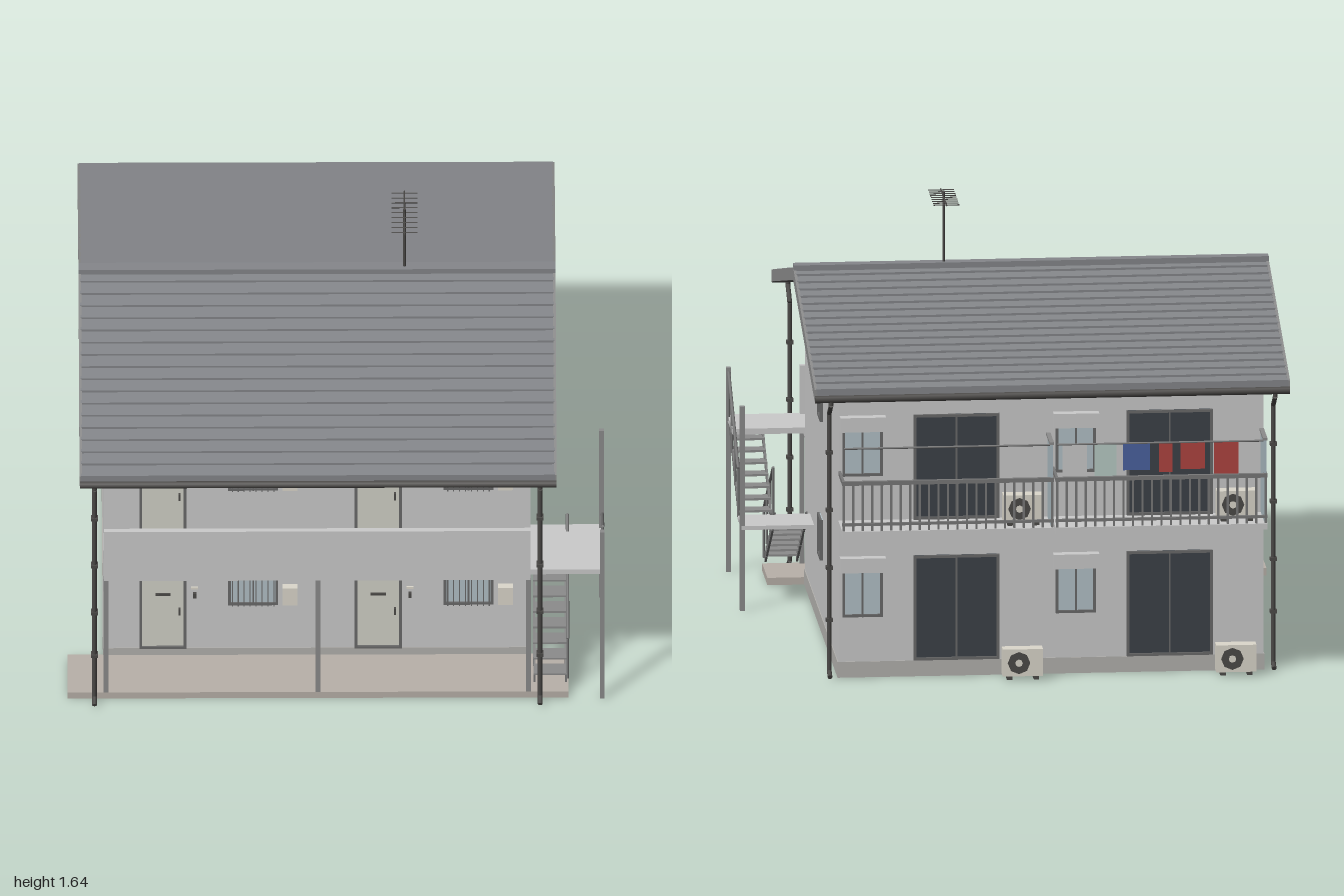
import * as THREE from 'three';

const mat = (color) => new THREE.MeshStandardMaterial({ color, side: THREE.DoubleSide });
const WALL = mat(0xcccccc), ROOF = mat(0x85878b), TRIM = mat(0x8c8c8c), STEEL = mat(0x787878),
  DARK = mat(0x4c4a48), STONE = mat(0xb9b1a9), DOOR = mat(0xd2d2c8), CREAM = mat(0xdcd8cc),
  GLASS = mat(0xb4c2c8), NIGHT = mat(0x3c4148), PANEL = mat(0xa9b9c0), FRAME = mat(0x6a6a6a);

function add(parent, name, geo, m) {
  const mesh = new THREE.Mesh(geo, m);
  mesh.name = name;
  parent.add(mesh);
  return mesh;
}
// box given by its limits on each axis
function box(parent, name, x0, x1, y0, y1, z0, z1, m = WALL) {
  const mesh = add(parent, name, new THREE.BoxGeometry(x1 - x0, y1 - y0, z1 - z0), m);
  mesh.position.set((x0 + x1) / 2, (y0 + y1) / 2, (z0 + z1) / 2);
  return mesh;
}
// straight round bar between two points
function bar(parent, name, a, b, r, m = STEEL) {
  const p = new THREE.Vector3(...a), q = new THREE.Vector3(...b), d = q.clone().sub(p);
  const mesh = add(parent, name, new THREE.CylinderGeometry(r, r, d.length(), 8), m);
  mesh.position.copy(p).add(q).multiplyScalar(0.5);
  mesh.quaternion.setFromUnitVectors(new THREE.Vector3(0, 1, 0), d.normalize());
  return mesh;
}
// profile of [z, y] points swept along x
function sweepX(parent, name, pts, x0, x1, m) {
  const shape = new THREE.Shape(pts.map(([z, y]) => new THREE.Vector2(-z, y)));
  const geo = new THREE.ExtrudeGeometry(shape, { depth: x1 - x0, bevelEnabled: false });
  const mesh = add(parent, name, geo.rotateY(Math.PI / 2), m);
  mesh.position.x = x0;
  return mesh;
}
function group(parent, name, x = 0, y = 0, z = 0) {
  const g = new THREE.Group();
  g.name = name;
  g.position.set(x, y, z);
  parent.add(g);
  return g;
}
// four-sided frame around a pane, in the XY plane facing +z
function framed(parent, name, w, h, pane, mullions = 0, t = 0.01) {
  const g = group(parent, name);
  box(g, 'pane', -w / 2, w / 2, 0, h, -0.004, 0.004, pane);
  for (const s of [-1, 1]) {
    box(g, 'frameSide', s * w / 2 - t / 2, s * w / 2 + t / 2, 0, h, -0.004, 0.012, FRAME);
    const y = s < 0 ? 0 : h - t;
    box(g, 'frameRail', -w / 2, w / 2, y, y + t, -0.004, 0.012, FRAME);
  }
  for (let i = 1; i <= mullions; i++) {
    const x = -w / 2 + (w * i) / (mullions + 1);
    box(g, 'mullion', x - 0.003, x + 0.003, 0, h, 0.004, 0.014, FRAME);
  }
  return g;
}

const X0 = -0.865, X1 = 0.72, ZF = 0.65, ZB = -0.82, RZ = 0.035;
const MID = (X0 + X1) / 2, FLOOR = 0.6;

function buildRoof(root) {
  const g = group(root, 'roof');
  // stepped courses running up to the ridge, mirrored about it
  const n = 17, half = 0.95, slope = 0.25, top = 1.36, up = [];
  for (let i = 0; i < n; i++) {
    const a = half * (1 - i / n), b = half * (1 - (i + 1) / n);
    up.push([a, top - a * slope + 0.004], [b, top - b * slope - 0.004]);
  }
  const front = up.map(([d, y]) => [RZ + d, y]);
  const back = up.map(([d, y]) => [RZ - d, y]).reverse();
  const eave = top - half * slope - 0.038;
  sweepX(g, 'roofCourses', [[RZ + half, eave], ...front, ...back, [RZ - half, eave], [RZ, top - 0.038]], -0.95, 0.81, ROOF);
  for (const x of [-0.956, 0.806]) {
    sweepX(g, 'bargeBoard', [[RZ + half, eave - 0.005], [RZ + half, eave + 0.04], [RZ, top + 0.002],
      [RZ - half, eave + 0.04], [RZ - half, eave - 0.005], [RZ, top - 0.045]], x, x + 0.01, TRIM);
  }
  box(g, 'ridgeCap', -0.955, 0.815, 1.35, 1.375, RZ - 0.022, RZ + 0.022, ROOF);
  for (const s of [-1, 1]) {
    const z = RZ + s * (half + 0.004);
    bar(g, 'gutter', [-0.955, 1.088, z], [0.815, 1.088, z], 0.014, DARK);
    // downspouts bend from the gutter back to the wall line
    const zl = s > 0 ? 0.905 : -0.838;
    for (const x of [-0.9, 0.755]) {
      const pts = [[z, 1.08], [z, 1.065], [zl, 1.015], [zl, 0.03], [zl + s * 0.035, 0.015]];
      for (let i = 0; i < 4; i++)
        bar(g, 'downspout', [x, pts[i][1], pts[i][0]], [x, pts[i + 1][1], pts[i + 1][0]], 0.009, DARK);
      for (const y of [0.22, 0.42, 0.64, 0.86]) box(g, 'bracket', x - 0.013, x + 0.013, y, y + 0.012, zl - 0.013, zl + 0.013, DARK);
    }
  }
  // aerial
  const a = group(g, 'aerial', 0.255, 0, RZ);
  bar(a, 'mast', [0, 1.36, 0], [0, 1.64, 0], 0.005, DARK);
  bar(a, 'boom', [0, 1.62, -0.135], [0, 1.62, 0.13], 0.003, DARK);
  for (let i = 0; i < 9; i++) {
    const z = -0.125 + i * 0.03;
    bar(a, 'element', [-0.048, 1.62, z], [0.048, 1.62, z], 0.002, DARK);
  }
}

// entrance door, barred window, meter box and bell of one flat
function buildEntrance(root, x, y) {
  const g = group(root, 'entrance', x, y, ZF);
  framed(g, 'door', 0.165, 0.375, DOOR);
  box(g, 'mailSlot', -0.028, 0.028, 0.25, 0.258, 0, 0.012, DARK);
  box(g, 'handle', 0.058, 0.066, 0.16, 0.19, 0, 0.016, DARK);
  box(g, 'bell', 0.112, 0.124, 0.235, 0.258, 0, 0.01, DARK);
  box(g, 'namePlate', 0.105, 0.13, 0.275, 0.285, 0, 0.006, CREAM);
  const w = framed(g, 'barredWindow', 0.175, 0.17, GLASS, 1);
  w.position.set(0.335, 0.205, 0);
  for (let i = 0; i < 8; i++) box(w, 'windowBar', -0.079 + i * 0.022, -0.075 + i * 0.022, 0, 0.17, 0.016, 0.02, FRAME);
  box(g, 'meterBox', 0.445, 0.5, 0.215, 0.295, 0, 0.026, CREAM);
}

function buildAirConditioner(root, x, y, z) {
  const g = group(root, 'airConditioner', x, y, z);
  box(g, 'cabinet', -0.075, 0.075, 0.012, 0.115, -0.027, 0.027, CREAM);
  for (const s of [-1, 1]) box(g, 'foot', s * 0.05 - 0.01, s * 0.05 + 0.01, 0, 0.012, -0.03, 0.03, DARK);
  bar(g, 'fan', [0.015, 0.063, -0.03], [0.015, 0.063, -0.02], 0.042, DARK);
  bar(g, 'fanHub', [0.015, 0.063, -0.032], [0.015, 0.063, -0.02], 0.014, CREAM);
}

// back openings of one flat
function buildBackOpenings(root, x, y) {
  const g = group(root, 'backOpenings', x, y, ZB);
  const s = framed(g, 'slidingDoor', 0.31, 0.4, NIGHT, 1);
  s.rotation.y = Math.PI;
  const w = framed(g, 'smallWindow', 0.14, 0.18, GLASS, 1);
  w.rotation.y = Math.PI;
  w.position.set(0.35, 0.17, 0);
  box(g, 'shutterHood', 0.265, 0.435, 0.345, 0.4, -0.04, 0);
}

function buildBackBalcony(root, x0, x1) {
  const g = group(root, 'backBalcony');
  const z = -0.99;
  box(g, 'balconyFloor', x0, x1, 0.578, FLOOR, -1, ZB);
  box(g, 'topRail', x0, x1, 0.775, 0.79, z - 0.008, z + 0.008, STEEL);
  box(g, 'bottomRail', x0, x1, 0.62, 0.63, z - 0.006, z + 0.006, STEEL);
  const n = 22;
  for (let i = 0; i <= n; i++) {
    const x = x0 + 0.006 + ((x1 - x0 - 0.012) * i) / n;
    box(g, 'baluster', x - 0.004, x + 0.004, FLOOR, 0.78, z - 0.004, z + 0.004, STEEL);
  }
  for (const x of [x0 + 0.005, x1 - 0.005]) box(g, 'sideRail', x - 0.005, x + 0.005, 0.775, 0.79, z, ZB, STEEL);
  box(g, 'partition', x0 + 0.004, x0 + 0.012, FLOOR + 0.005, 0.92, -0.988, -0.838, PANEL);
  box(g, 'partitionCap', x0, x0 + 0.016, 0.915, 0.925, -0.992, -0.835, TRIM);
  bar(g, 'dryingPole', [x0 + 0.01, 0.905, -0.95], [x1 - 0.01, 0.905, -0.95], 0.004, STEEL);
  buildAirConditioner(g, x0 + 0.11, FLOOR, -0.925);
  buildAirConditioner(root, x0 + 0.11, 0.005, -0.9);
}

function buildStairs(root) {
  const g = group(root, 'outsideStairs');
  box(g, 'upperLanding', X1, 0.99, 0.578, FLOOR, ZF, 0.88);
  box(g, 'middleLanding', X1, 0.99, 0.31, 0.325, 0.25, 0.43);
  for (const z of [0.88, 0.265]) box(g, 'stairPost', 0.977, 0.995, 0, 0.78, z - 0.009, z + 0.009, TRIM);
  const zb = 0.84, zt = 0.42, n = 8;
  // each flight: width range, height at outer end (z = 0.84) and at the middle landing, rail side
  for (const [x0, x1, yOut, yMid, rx] of [[0.73, 0.855, 0.06, 0.32, 0.858], [0.862, 0.988, 0.585, 0.32, 0.988]]) {
    const f = group(g, 'flight'), at = (t) => yOut + (yMid - yOut) * t;
    for (const x of [x0, x1 - 0.008])
      sweepX(f, 'stringer', [[zb, yOut + 0.014], [zb, yOut - 0.018], [zt, yMid - 0.018], [zt, yMid + 0.014]], x, x + 0.008, STEEL);
    for (let i = 0; i < n; i++) {
      const t = (i + 0.5) / n, z = zb + (zt - zb) * t;
      box(f, 'tread', x0, x1, at(t), at(t) + 0.008, z - 0.03, z + 0.03, TRIM);
    }
    bar(f, 'handrail', [rx, yOut + 0.185, zb], [rx, yMid + 0.185, zt], 0.006);
    for (let i = 0; i < 4; i++) {
      const z = zb + ((zt - zb) * i) / 3;
      bar(f, 'railPost', [rx, at(i / 3), z], [rx, at(i / 3) + 0.185, z], 0.005);
    }
  }
}

export function createModel() {
  const root = new THREE.Group();
  root.name = 'apartmentHouse';

  // body with plinth and boxed gables
  box(root, 'walls', X0, X1, 0.06, 1.12, ZB, ZF);
  box(root, 'plinth', X0 - 0.003, X1 + 0.003, 0, 0.06, ZB - 0.003, ZF + 0.003, mat(0xb4b2ae));
  sweepX(root, 'gables', [[0.91, 1.118], [RZ, 1.325], [-0.84, 1.118]], X0, X1, WALL);
  for (const s of [-1, 1]) {
    const side = group(root, 'sideWall', s < 0 ? X0 : X1, 0, 0);
    for (const y of [0.285, 0.815]) {
      const w = framed(side, 'sideWindow', 0.115, 0.155, GLASS);
      w.rotation.y = (s * Math.PI) / 2;
      w.position.set(0, y, -0.088);
    }
    box(side, 'gableVent', -0.008, 0.008, 1.18, 1.255, -0.015, 0.085, TRIM);
    for (let i = 0; i < 5; i++) box(side, 'ventSlat', -0.012, 0.012, 1.187 + i * 0.014, 1.191 + i * 0.014, -0.012, 0.082, STEEL);
  }
  buildRoof(root);

  // front walkway: ground slab, posts, upper gallery
  box(root, 'groundSlab', -1, 0.86, 0, 0.028, ZF, 0.88, STONE);
  box(root, 'galleryFloor', X0, X1, 0.56, FLOOR, ZF, 0.88);
  box(root, 'galleryParapet', X0, X1, 0.555, 0.785, 0.865, 0.885);
  for (const x of [-0.857, -0.07, 0.712]) box(root, 'galleryPost', x - 0.009, x + 0.009, 0.028, 0.56, 0.862, 0.88, TRIM);

  for (const y of [0.062, FLOOR]) {
    for (const x of [-0.645, 0.155]) buildEntrance(root, x, y);
    for (const x of [-0.515, 0.28]) buildBackOpenings(root, x, y);
  }
  buildBackBalcony(root, X0, MID - 0.003);
  buildBackBalcony(root, MID + 0.003, X1);

  // washing on the drying pole: x, width, height, colour
  const wash = group(root, 'laundry');
  for (const [x, w, h, c] of [[-0.15, 0.09, 0.16, 0xd8dcdc], [-0.265, 0.08, 0.13, 0xb9ccc6], [-0.38, 0.1, 0.1, 0x4a62a0],
    [-0.49, 0.05, 0.11, 0xb04440], [-0.59, 0.09, 0.1, 0xb04440], [-0.715, 0.09, 0.13, 0xb04440]])
    box(wash, 'cloth', x - w / 2, x + w / 2, 0.903 - h, 0.903, -0.953, -0.947, mat(c));

  buildStairs(root);
  return root;
}
